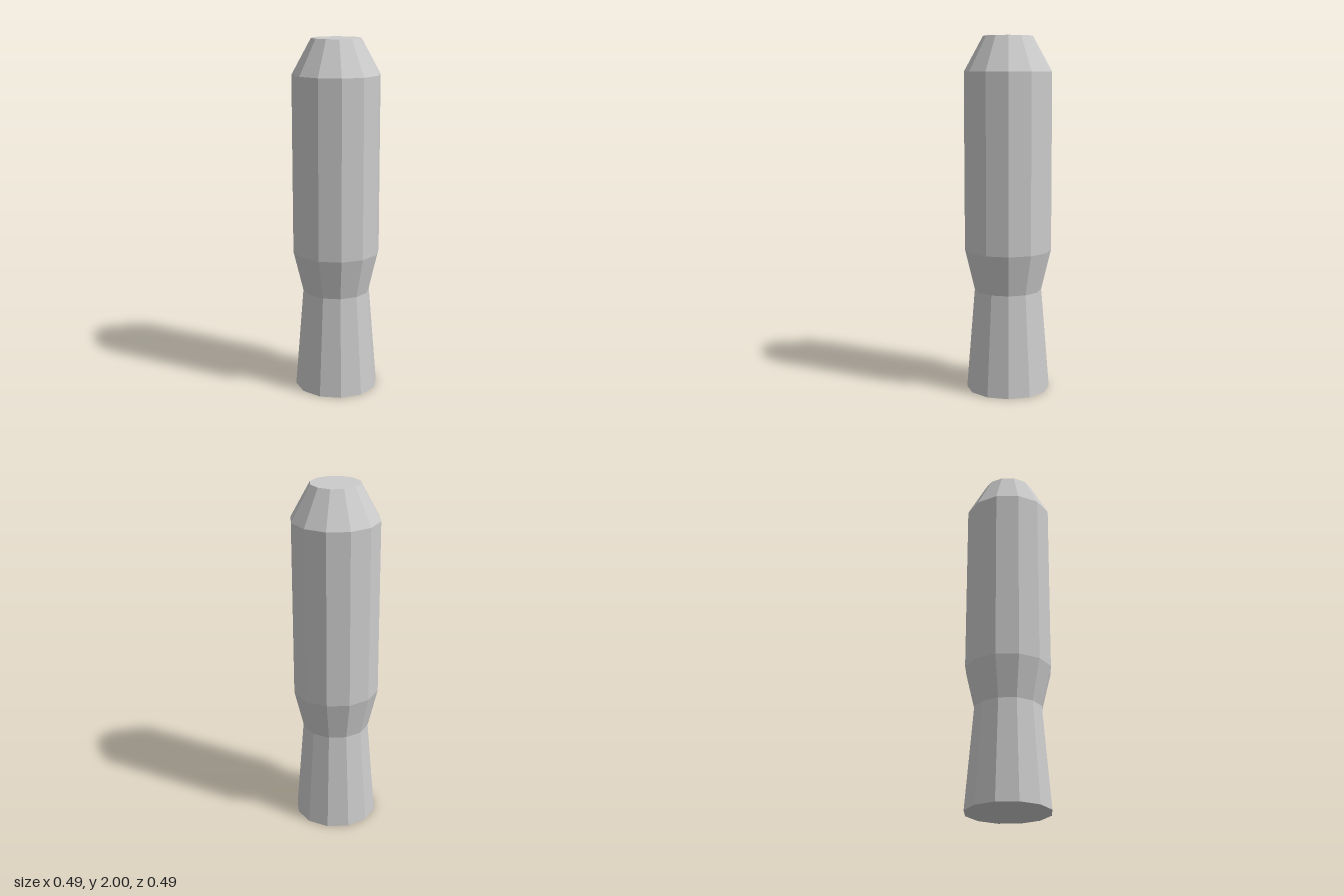
import * as THREE from 'three';

const SIDES = 12;

// Faceted turned section from [radius, height] pairs, listed bottom to top
function turned(name, profile, material) {
  const points = profile.map(([r, y]) => new THREE.Vector2(r, y));
  const mesh = new THREE.Mesh(new THREE.LatheGeometry(points, SIDES), material);
  mesh.name = name;
  return mesh;
}

export function createModel() {
  const group = new THREE.Group();
  group.name = 'taperedPeg';
  const material = new THREE.MeshStandardMaterial({ color: 0xcccccc, flatShading: true });

  // Flared foot with a closed underside, narrowing to the waist
  group.add(turned('flaredBase', [[0, 0], [0.237, 0], [0.19, 0.575]], material));

  // Shoulder widening from the waist to the straight barrel
  group.add(turned('shoulder', [[0.19, 0.575], [0.245, 0.805]], material));

  // Straight barrel
  group.add(turned('barrel', [[0.245, 0.805], [0.245, 1.805]], material));

  // Chamfered tip with a flat top
  group.add(turned('tip', [[0.245, 1.805], [0.138, 2], [0, 2]], material));

  return group;
}
